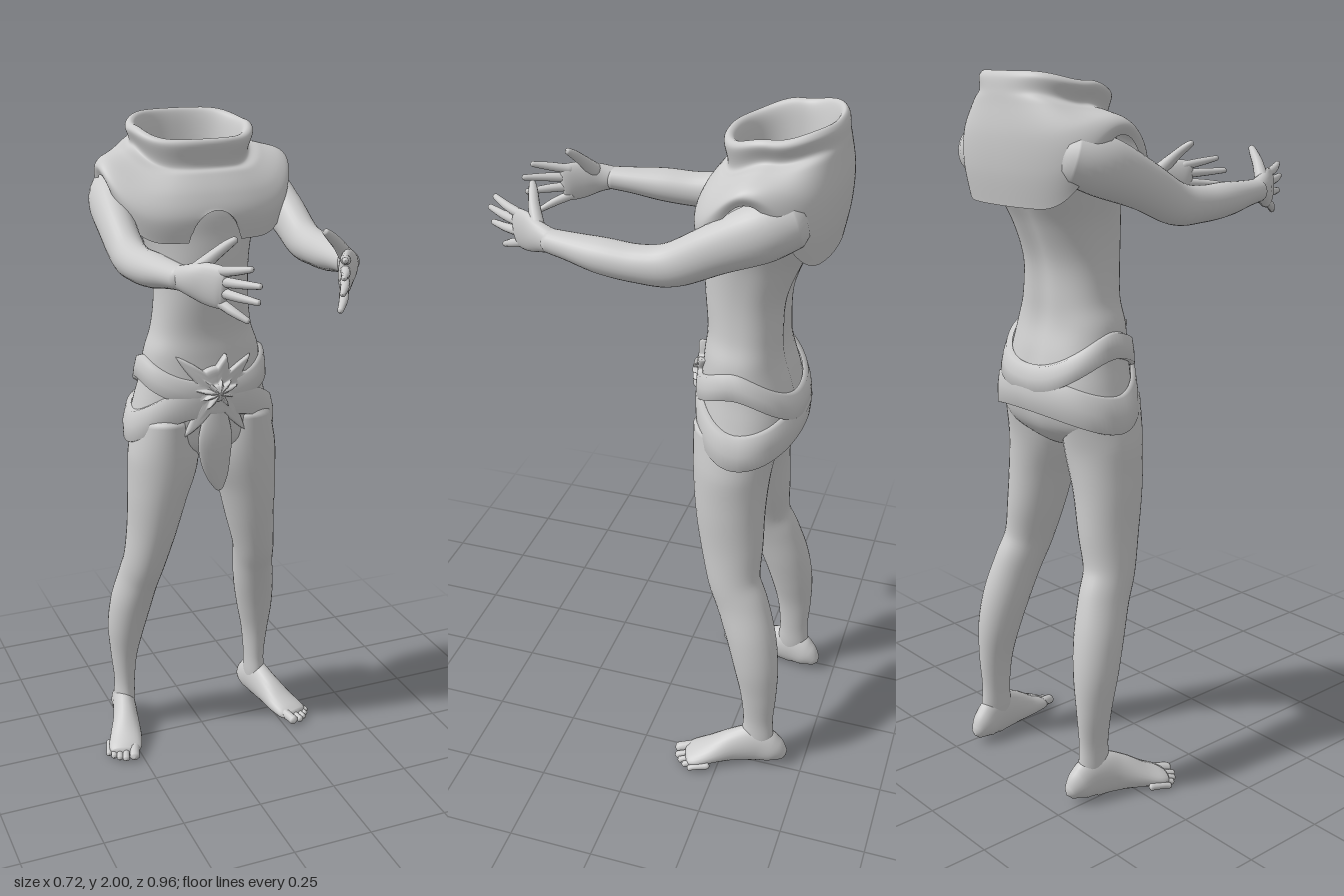
import * as THREE from 'three';

const V = (x, y, z) => new THREE.Vector3(x, y, z);
const { lerp, smoothstep, clamp } = THREE.MathUtils;
const spow = (v, e) => Math.sign(v) * Math.abs(v) ** e;
const skin = new THREE.MeshStandardMaterial({ color: 0xcccccc });
const cloth = new THREE.MeshStandardMaterial({ color: 0xcccccc, side: THREE.DoubleSide });

// Smooth (Catmull-Rom) interpolation of rows of numbers, t in 0..1
function sample(keys, t) {
  const f = t * (keys.length - 1), i = Math.min(Math.floor(f), keys.length - 2), u = f - i;
  const k = (j) => keys[clamp(j, 0, keys.length - 1)];
  return keys[i].map((b, c) => {
    const a = k(i - 1)[c], d = k(i + 1)[c], e = k(i + 2)[c];
    return b + 0.5 * u * (d - a + u * (2 * a - 5 * b + 4 * d - e + u * (3 * (b - d) + e - a)));
  });
}

// Closed-ring surface: fn(t, angle) gives a point
function rings(rows, cols, fn) {
  const pos = [], idx = [];
  for (let i = 0; i <= rows; i++) {
    for (let j = 0; j < cols; j++) pos.push(...fn(i / rows, (j / cols) * Math.PI * 2).toArray());
  }
  for (let i = 0; i < rows; i++) {
    for (let j = 0; j < cols; j++) {
      const a = i * cols + j, b = i * cols + ((j + 1) % cols);
      idx.push(a, b, a + cols, b, b + cols, a + cols);
    }
  }
  const g = new THREE.BufferGeometry();
  g.setAttribute('position', new THREE.Float32BufferAttribute(pos, 3));
  g.setIndex(idx);
  g.computeVertexNormals();
  return g;
}

// Limb along keys [x, y, z, sideRadius, upRadius] with rounded ends
function limb(keys, up, cols = 24, steps = 6) {
  const rows = (keys.length - 1) * steps;
  return rings(rows + 4, cols, (t, a) => {
    const r = Math.round(t * (rows + 4));
    const s = clamp((r - 2) / rows, 0, 1);
    const [x, y, z, ra, rb] = sample(keys, s);
    const n = sample(keys, Math.min(1, s + 0.01)), p = sample(keys, Math.max(0, s - 0.01));
    const T = V(n[0] - p[0], n[1] - p[1], n[2] - p[2]).normalize();
    const S = up.clone().cross(T).normalize(), U = T.clone().cross(S);
    const e = r < 2 ? r - 2 : r > rows + 2 ? r - rows - 2 : 0;
    const shrink = [1, 0.75, 0.001][Math.abs(e)];
    return V(x, y, z)
      .addScaledVector(S, Math.cos(a) * ra * shrink)
      .addScaledVector(U, Math.sin(a) * rb * shrink)
      .addScaledVector(T, e * 0.35 * Math.min(ra, rb));
  });
}

function mirrored(geo) {
  const g = geo.clone().scale(-1, 1, 1), ix = g.index.array;
  for (let i = 0; i < ix.length; i += 3) [ix[i], ix[i + 1]] = [ix[i + 1], ix[i]];
  g.computeVertexNormals();
  return g;
}

// Torso sections, top to bottom: y, half width, front z, back z
const TORSO = [
  [1.84, 0.19, -0.15, -0.45], [1.76, 0.19, -0.115, -0.45], [1.68, 0.165, -0.11, -0.42],
  [1.6, 0.145, -0.105, -0.38], [1.5, 0.14, -0.11, -0.345], [1.4, 0.152, -0.12, -0.34],
  [1.33, 0.175, -0.115, -0.345], [1.25, 0.185, -0.108, -0.37], [1.17, 0.205, -0.108, -0.388],
  [1.1, 0.22, -0.112, -0.385], [1.04, 0.2, -0.13, -0.36], [0.99, 0.06, -0.2, -0.3],
  [0.985, 0.001, -0.25, -0.251],
];
const oval = (y, rx, zf, zb, a, e = 0.88) =>
  V(rx * spow(Math.cos(a), e), y, (zf + zb) / 2 + ((zf - zb) / 2) * spow(Math.sin(a), e));
function torsoAt(y) {
  const i = clamp(TORSO.findIndex((k) => k[0] <= y), 1, TORSO.length - 1);
  const p = TORSO[i - 1], q = TORSO[i], u = (p[0] - y) / (p[0] - q[0]);
  return p.map((v, c) => lerp(v, q[c], u));
}

// Mantle sections from inside the neck, over the rim, to the hem:
// half width, front z, back z, then y at front, side and back
const MANTLE = [
  [0.001, -0.3, -0.301, 1.7, 1.7, 1.7], [0.1, -0.22, -0.38, 1.72, 1.72, 1.72],
  [0.125, -0.205, -0.405, 1.82, 1.82, 1.82], [0.147, -0.188, -0.43, 1.92, 1.945, 1.965],
  [0.165, -0.17, -0.445, 1.945, 1.975, 1.998], [0.184, -0.155, -0.46, 1.93, 1.962, 1.985],
  [0.172, -0.165, -0.466, 1.87, 1.92, 1.95], [0.21, -0.145, -0.47, 1.85, 1.907, 1.92],
  [0.265, -0.11, -0.48, 1.8, 1.892, 1.84], [0.287, -0.09, -0.477, 1.74, 1.87, 1.75],
  [0.277, -0.1, -0.462, 1.67, 1.845, 1.66],
];
function mantlePoint(t, a) {
  const [rx, zf, zb, yf, ys, yb] = sample(MANTLE, t);
  const w = smoothstep(Math.abs(Math.sin(a)), 0, 0.9);
  const p = oval(lerp(ys, Math.sin(a) > 0 ? yf : yb, w), rx, zf, zb, a);
  // Arched opening below the chest
  if (t > 0.7 && Math.sin(a) > 0 && Math.abs(p.x) < 0.075) {
    p.y = Math.max(p.y, 1.665 + 1.25 * Math.sqrt(0.075 ** 2 - p.x ** 2));
  }
  return p;
}

// Band wrapped round the hips; heights at front, side and back
function band(front, side, back, half) {
  const rim = [[1, 0.002], [0.92, 0.017], [0, 0.019], [-0.92, 0.017], [-1, 0.002]];
  return rings(4, 80, (t, a) => {
    const [k, off] = rim[Math.round(t * 4)];
    const s = Math.sin(a), mid = lerp(side, s > 0 ? front : back, Math.abs(s) ** 1.6);
    const y = mid + k * half;
    const [, rx, zf, zb] = torsoAt(Math.max(y, 1.1));
    return oval(y, rx + off, zf + off * 0.8, zb - off, a);
  });
}

// Spiked buckle: tips as [x, y] from its centre
const TIPS = [[0.18, 0.045], [0.115, 0.09], [0.03, 0.105], [-0.11, 0.105], [-0.18, 0.025],
  [-0.125, -0.055], [-0.095, -0.135], [0.095, -0.135], [0.13, -0.05]];
function bucklePoint(t, a) {
  const [k, z] = sample([[1, -0.015], [0.98, 0.016], [0.6, 0.02], [0.36, 0.022], [0.3, 0.034], [0.001, 0.042]], t);
  let r = 0.075;
  for (const [x, y] of TIPS) {
    const d = Math.atan2(y, x) - a, gap = Math.abs(Math.atan2(Math.sin(d), Math.cos(d)));
    r += (Math.hypot(x, y) - 0.07) * Math.max(0, 1 - gap / 0.27) ** 1.3;
  }
  const x = Math.cos(a) * r * k, y = Math.sin(a) * r * k;
  return V(x, 1.225 + y, -0.11 + z - 2.3 * x * x);
}

export function createModel() {
  const model = new THREE.Group();
  const add = (name, geo, mat = skin, parent = model) => {
    const m = new THREE.Mesh(geo, mat);
    m.name = name;
    parent.add(m);
  };
  const Y = V(0, 1, 0), Z = V(0, 0, 1);

  // Body with a shallow groove along the spine
  add('torso', rings(72, 64, (t, a) => {
    const p = oval(...sample(TORSO, t), a);
    if (Math.sin(a) < 0) p.z += 0.014 * Math.exp(-((p.x / 0.035) ** 2)) * smoothstep(p.y, 1.0, 1.2);
    return p;
  }), cloth);

  // Clothing
  add('mantle', rings(80, 180, mantlePoint), cloth);
  add('upperBand', band(1.22, 1.285, 1.19, 0.036), cloth);
  add('lowerBand', band(1.2, 1.1, 1.15, 0.052), cloth);
  add('buckle', rings(20, 216, bucklePoint), cloth);
  add('loincloth', limb([[0, 1.18, -0.105, 0.03, 0.012], [-0.005, 1.09, -0.1, 0.053, 0.014],
    [-0.003, 1.02, -0.105, 0.05, 0.014], [0.008, 0.95, -0.115, 0.034, 0.012],
    [0.015, 0.905, -0.12, 0.012, 0.008]], Z), cloth);

  // Limb parts for the left side, mirrored for the right
  const parts = {
    leg: limb([[0.125, 1.12, -0.235, 0.09, 0.125], [0.128, 1.0, -0.225, 0.108, 0.112],
      [0.148, 0.88, -0.228, 0.092, 0.102], [0.165, 0.76, -0.24, 0.077, 0.092],
      [0.185, 0.65, -0.255, 0.066, 0.078], [0.198, 0.57, -0.287, 0.063, 0.077],
      [0.215, 0.47, -0.32, 0.065, 0.074], [0.228, 0.37, -0.342, 0.058, 0.067],
      [0.234, 0.27, -0.354, 0.043, 0.055], [0.234, 0.17, -0.357, 0.033, 0.046],
      [0.236, 0.1, -0.358, 0.033, 0.05], [0.238, 0.05, -0.36, 0.03, 0.045]], Z, 32),
    foot: limb([[0.226, 0.038, -0.435, 0.022, 0.025], [0.231, 0.054, -0.405, 0.035, 0.05],
      [0.24, 0.07, -0.355, 0.037, 0.068], [0.255, 0.058, -0.29, 0.041, 0.056],
      [0.277, 0.036, -0.22, 0.051, 0.035], [0.294, 0.024, -0.175, 0.053, 0.023],
      [0.3, 0.019, -0.155, 0.045, 0.016]], Y),
    arm: limb([[0.2, 1.79, -0.38, 0.065, 0.07], [0.238, 1.765, -0.31, 0.067, 0.078],
      [0.26, 1.715, -0.2, 0.053, 0.066], [0.264, 1.66, -0.09, 0.05, 0.058],
      [0.264, 1.65, 0, 0.05, 0.05], [0.257, 1.655, 0.1, 0.051, 0.047],
      [0.244, 1.662, 0.19, 0.042, 0.037], [0.234, 1.666, 0.255, 0.034, 0.032]], Y, 28),
    palm: limb([[0.238, 1.666, 0.24, 0.03, 0.03], [0.222, 1.667, 0.285, 0.026, 0.042],
      [0.197, 1.665, 0.325, 0.022, 0.054], [0.175, 1.662, 0.36, 0.019, 0.056],
      [0.166, 1.66, 0.375, 0.014, 0.05]], Y),
    thumb: limb([[0.212, 1.69, 0.295, 0.02, 0.022], [0.175, 1.73, 0.318, 0.016, 0.016],
      [0.145, 1.757, 0.332, 0.013, 0.013], [0.124, 1.773, 0.342, 0.009, 0.009]], Y, 12, 4),
  };
  // Fingers: knuckle height, then tip
  [[1.7, 0.126, 1.722, 0.452], [1.676, 0.113, 1.684, 0.475], [1.65, 0.114, 1.642, 0.468],
    [1.624, 0.127, 1.588, 0.432]].forEach(([ky, x, y, z], i) => {
    parts['finger' + (i + 1)] = limb([[0.175, ky, 0.355, 0.013, 0.014],
      [(0.175 + x) / 2 + 0.002, (ky + y) / 2, (0.355 + z) / 2 + 0.004, 0.012, 0.012],
      [x, y, z, 0.008, 0.008]], Y, 12, 5);
  });
  // Toes: tip x, tip z, radius
  [[0.282, -0.117, 0.017], [0.309, -0.122, 0.012], [0.326, -0.135, 0.011],
    [0.34, -0.152, 0.0105], [0.351, -0.172, 0.01]].forEach(([x, z, r], i) => {
    parts['toe' + (i + 1)] = limb([[x - 0.018, r + 0.008, z - 0.055, r, r],
      [x - 0.006, r + 0.004, z - 0.018, r * 0.9, r * 0.9], [x, r, z, r * 0.95, r * 0.85]], Y, 12, 4);
  });
  for (const side of ['left', 'right']) {
    const group = new THREE.Group();
    group.name = side + 'Limbs';
    for (const [name, geo] of Object.entries(parts)) {
      const title = side + name[0].toUpperCase() + name.slice(1);
      add(title, side === 'left' ? geo : mirrored(geo), skin, group);
    }
    model.add(group);
  }
  return model;
}
